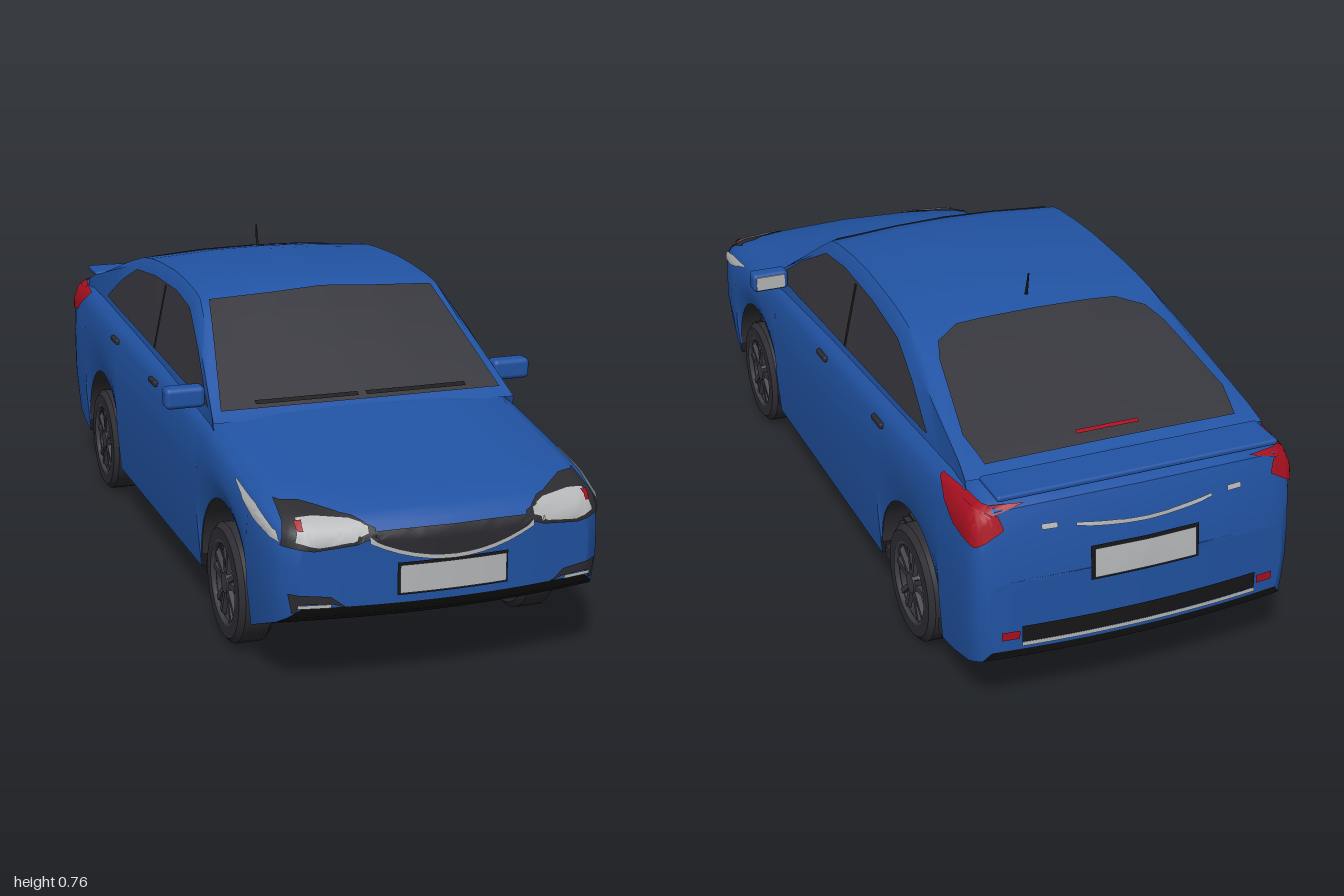
import * as THREE from 'three';
import { toCreasedNormals } from 'three/addons/utils/BufferGeometryUtils.js';
import { RoundedBoxGeometry } from 'three/addons/geometries/RoundedBoxGeometry.js';

const { lerp, smoothstep } = THREE.MathUtils;
const mat = (name, color) => new THREE.MeshStandardMaterial({ name, color, side: THREE.DoubleSide });
const blue = mat('blue paint', 0x2153a3), glass = mat('dark glass', 0x36363d), black = mat('black plastic', 0x161618);
const rubber = mat('rubber', 0x2e2e34), alloy = mat('dark alloy', 0x3c3c44), silver = mat('silver', 0xb4b6b8);
const red = mat('red lens', 0xa81020), trim = mat('grey trim', 0x2b2b30);

// Lower body stations: z, half width, deck height, lower edge
const KEYS = [
  [1, .33, .36, .21], [.985, .36, .385, .185], [.95, .375, .403, .165], [.85, .385, .425, .135], [.785, .388, .437, .112],
  [.6, .39, .468, .11], [.46, .39, .49, .11], [0, .39, .515, .11], [-.5, .39, .535, .11], [-.78, .388, .548, .11],
  [-.85, .387, .546, .12], [-.94, .384, .54, .138], [-.97, .38, .524, .15], [-.99, .37, .46, .16], [-1, .352, .36, .185]];
const AXLES = [.59, -.585], ARCH = .19, HUB_Y = .14;

function at(keys, z, col) {
  const i = Math.max(1, keys.findIndex(k => k[0] <= z + 1e-9));
  const a = keys[i - 1], b = keys[i];
  return lerp(a[col], b[col], (z - a[0]) / (b[0] - a[0]));
}
const axleNear = z => AXLES.find(c => Math.abs(z - c) <= ARCH + 1e-6);

// Rounds the nose and tail in plan
const plan = (x, y, z) => new THREE.Vector3(x, y,
  z + (x / .39) ** 2 * (.03 * smoothstep(-z, .78, 1) - .05 * smoothstep(z, .78, 1)));

function grid(rows, crease = .7) {
  const n = rows[0].length, idx = [];
  for (let i = 0; i < rows.length - 1; i++)
    for (let j = 0; j < n - 1; j++) {
      const a = i * n + j, b = a + 1, c = a + n, d = c + 1;
      idx.push(a, c, b, b, c, d);
    }
  const g = new THREE.BufferGeometry().setFromPoints(rows.flat());
  g.setIndex(idx);
  return toCreasedNormals(g, crease);
}

// Half outline at a station, from the lower edge up to the centreline
function bodySection(z) {
  const [w, top, bot] = [1, 2, 3].map(c => at(KEYS, z, c)), h = top - bot, axle = axleNear(z);
  const low = axle === undefined ? bot : HUB_Y + Math.sqrt(Math.max(0, ARCH ** 2 - (z - axle) ** 2));
  const shoulder = top - .15 * h;
  return [[.975, low], [1, lerp(low, shoulder, .35)], [1, lerp(low, shoulder, .7)], [.985, shoulder],
    [.955, top - .08 * h], [.87, top - .03 * h], [.5, top - .008 * h], [0, top]].map(([f, y]) => [f * w, y]);
}
const ROOF = [[.48, .478], [.46, .49], [.38, .547], [.3, .604], [.22, .66], [.15, .706], [.1, .716], [0, .724], [-.1, .727],
  [-.25, .72], [-.33, .712], [-.4, .7], [-.5, .67], [-.6, .636], [-.7, .6], [-.8, .565], [-.86, .54]];
function cabinSection(z) {
  const top = at(ROOF, z, 1), belt = at(KEYS, z, 2);
  const f = Math.min(1, Math.max(0, (top - belt) / .2)), edge = top - .04 * f;
  const side = y => .365 - .26 * (y - .5), x = side(edge);
  return [[side(belt), belt - .04], [x, edge], [x - .018, edge + .024 * f], [x * .75, top - .012 * f],
    [x * .4, top - .003 * f], [0, top]];
}
const loft = (zs, section) => grid(zs.map(z => {
  const half = section(z);
  return [...half, ...half.slice(0, -1).reverse().map(([x, y]) => [-x, y])].map(([x, y]) => plan(x, y, z));
}));
const cap = (z, s) => grid(bodySection(z).map(([x, y]) =>
  Array.from({ length: 17 }, (_, k) => plan(x * s * (1 - k / 8), y, z))));

function makeWheel() {
  const wheel = new THREE.Group();
  wheel.name = 'wheel';
  const part = (name, g, m) => { const p = new THREE.Mesh(g, m); p.name = name; wheel.add(p); return p; };
  const profile = [[.098, -.042], [.125, -.042], [.138, -.03], [.138, .03], [.125, .042], [.098, .042], [.098, -.042]];
  const tyre = new THREE.LatheGeometry(profile.map(p => new THREE.Vector2(...p)), 40);
  part('tyre', toCreasedNormals(tyre.rotateZ(-Math.PI / 2), .6), rubber);
  part('rim', new THREE.TorusGeometry(.096, .007, 8, 40).rotateY(Math.PI / 2).translate(.036, 0, 0), alloy);
  part('hub', new THREE.CylinderGeometry(.024, .028, .03, 20).rotateZ(-Math.PI / 2).translate(.024, 0, 0), alloy);
  for (let k = 0; k < 5; k++)
    for (const s of [-1, 1]) {
      const spoke = part('spoke', new THREE.BoxGeometry(.012, .085, .012).translate(.03, .056, 0), alloy);
      spoke.rotation.x = k * Math.PI * .4 + s * .2;
    }
  return wheel;
}

export function createModel() {
  const car = new THREE.Group();
  car.name = 'car';
  const add = (name, g, m, x = 0, y = 0, z = 0) => {
    const p = new THREE.Mesh(g, m);
    p.name = name;
    p.position.set(x, y, z);
    car.add(p);
    return p;
  };

  // Body shell with open arches, end faces and cabin
  const zs = KEYS.map(k => k[0]).filter(z => axleNear(z) === undefined);
  for (const c of AXLES) {
    zs.push(c + ARCH + .0005, c - ARCH - .0005);
    for (let k = 0; k <= 18; k++) zs.push(c + ARCH * Math.cos(k * Math.PI / 18));
  }
  zs.sort((a, b) => b - a);
  const shell = [add('body', loft(zs, bodySection), blue), add('frontFace', cap(1, 1), blue),
    add('rearFace', cap(-1, -1), blue), add('cabin', loft(ROOF.map(k => k[0]), cabinSection), blue)];
  add('underbody', grid(zs.map(z => {
    const w = axleNear(z) === undefined ? bodySection(z)[0][0] : .25;
    return Array.from({ length: 9 }, (_, k) => plan(w * (k / 4 - 1), at(KEYS, z, 3), z));
  })), black);

  // Thin plates laid over the shell, spanned between two outlines
  const ray = new THREE.Raycaster();
  const VIEWS = {
    front: (a, b) => [[a, b, 3], [0, 0, -1]], rear: (a, b) => [[a, b, -3], [0, 0, 1]],
    left: (a, b) => [[3, b, a], [-1, 0, 0]], right: (a, b) => [[-3, b, a], [1, 0, 0]], top: (a, b) => [[a, 3, b], [0, -1, 0]] };
  const along = (line, u) => {
    const t = u * (line.length - 1), i = Math.min(line.length - 2, Math.floor(t));
    return [0, 1].map(k => lerp(line[i][k], line[i + 1][k], t - i));
  };
  function plate(name, m, view, low, high, off = .004, nu = 24, nv = 5) {
    let depth = 2, dir;
    const rows = Array.from({ length: nv + 1 }, (_, i) => Array.from({ length: nu + 1 }, (_, j) => {
      const p = along(low, j / nu), q = along(high, j / nu);
      const [o, d] = VIEWS[view](lerp(p[0], q[0], i / nv), lerp(p[1], q[1], i / nv)).map(v => new THREE.Vector3(...v));
      dir = d;
      ray.set(o, d);
      const hit = ray.intersectObjects(shell)[0];
      if (!hit) return o.addScaledVector(d, depth);
      depth = hit.distance;
      const n = hit.face.normal.clone();
      return hit.point.clone().addScaledVector(n, n.dot(d) > 0 ? -off : off);
    }));
    const d1 = rows[nv][nu].clone().sub(rows[0][0]), d2 = rows[nv][0].clone().sub(rows[0][nu]);
    if (d2.cross(d1).dot(dir) > 0) rows.forEach(r => r.reverse());
    add(name, grid(rows), m);
  }
  const flip = line => line.map(([a, b]) => [-a, b]);
  const pair = (name, m, view, low, high, off, nu, nv) => {
    plate(name, m, view, low, high, off, nu, nv);
    if (view === 'left') plate(name, m, 'right', low, high, off, nu, nv);
    else plate(name, m, view, flip(low), flip(high), off, nu, nv);
  };
  const bar = (name, m, view, x0, x1, y0, y1, off) => plate(name, m, view, [[x0, y0], [x1, y0]], [[x0, y1], [x1, y1]], off, 16, 2);
  const bars = (name, m, view, x0, x1, y0, y1, off) => pair(name, m, view, [[x0, y0], [x1, y0]], [[x0, y1], [x1, y1]], off, 12, 2);

  // Glass
  plate('windscreen', glass, 'front', [[-.345, .495], [.345, .495]], [[-.285, .688], [0, .703], [.285, .688]], .004, 32, 16);
  const rearSide = [[-.3, -.825], [-.315, -.74], [-.28, -.52], [-.26, -.46], [-.2, -.42]];
  plate('rearWindow', glass, 'top', rearSide, flip(rearSide), .004, 24, 24);
  pair('sideWindow', glass, 'left',
    [[.42, .5], [.27, .5], [.13, .505], [0, .51], [-.2, .518], [-.38, .525], [-.5, .53], [-.62, .537]],
    [[.4, .512], [.27, .595], [.13, .668], [0, .682], [-.2, .678], [-.38, .66], [-.5, .61], [-.62, .542]], .004, 42, 8);
  bars('doorPillar', black, 'left', -.085, -.1, .515, .675, .006);
  bars('wiper', black, 'front', .01, .26, .5, .507, .008);
  bar('highBrakeLight', red, 'top', -.075, .075, -.8, -.79, .008);

  // Nose details
  pair('headlightHousing', trim, 'front', [[.17, .36], [.21, .345], [.3, .335], [.36, .345]],
    [[.17, .375], [.21, .395], [.3, .412], [.345, .413]]);
  pair('headlight', silver, 'front', [[.185, .365], [.22, .352], [.29, .343], [.335, .353]],
    [[.185, .38], [.22, .39], [.29, .395], [.325, .393]], .008);
  bars('headlightMarker', red, 'front', .317, .33, .374, .388, .011);
  pair('headlightTail', silver, 'left', [[.94, .35], [.82, .372], [.69, .412]], [[.92, .37], [.82, .398], [.69, .416]], .006);
  const arc = (w, edge, mid, n = 12) => Array.from({ length: n + 1 }, (_, k) => {
    const t = k / n * 2 - 1;
    return [t * w, lerp(mid, edge, t * t)];
  });
  plate('grille', trim, 'front', arc(.18, .35, .308), arc(.18, .368, .37));
  plate('grilleStrip', silver, 'front', arc(.185, .347, .3), arc(.185, .357, .31), .008, 24, 2);
  pair('fogSurround', trim, 'front', [[.235, .205], [.25, .192], [.34, .188]], [[.235, .212], [.265, .235], [.35, .243]]);
  bars('fogLight', silver, 'front', .265, .33, .212, .22, .008);
  bar('frontPlateFrame', black, 'front', -.125, .125, .228, .3);
  bar('frontPlate', silver, 'front', -.12, .12, .233, .295, .008);

  // Tail details
  pair('tailLightSide', red, 'left', [[-.76, .512], [-.86, .452], [-.95, .44]], [[-.76, .517], [-.86, .522], [-.95, .52]], .005);
  pair('tailLightRear', red, 'rear', [[.315, .475], [.372, .44]], [[.325, .505], [.366, .512]], .005);
  bar('rearPlateFrame', black, 'rear', -.128, .128, .33, .41);
  bar('rearPlate', silver, 'rear', -.12, .12, .337, .403, .008);
  plate('bootStrip', silver, 'rear', arc(.16, .463, .447), arc(.16, .47, .457), .006, 24, 2);
  bars('reverseLight', silver, 'rear', .2, .235, .465, .477, .005);
  bar('bumperSlot', black, 'rear', -.28, .28, .205, .245);
  bar('bumperStrip', silver, 'rear', -.28, .28, .196, .206, .006);
  bars('reflector', red, 'rear', .285, .325, .215, .235, .005);
  add('bootLip', new RoundedBoxGeometry(.66, .014, .1, 2, .006), blue, 0, .549, -.915);

  // Wheels, wheel wells, mirrors and handles
  for (const s of [1, -1]) {
    for (const z of AXLES) {
      const wheel = makeWheel();
      wheel.position.set(s * .343, HUB_Y - .002, z);
      if (s < 0) wheel.rotation.y = Math.PI;
      car.add(wheel);
      add('wheelWell', new THREE.CylinderGeometry(ARCH, ARCH, .13, 28, 1, true, 0, Math.PI).rotateZ(Math.PI / 2), rubber, s * .314, HUB_Y, z);
      add('wellWall', new THREE.CircleGeometry(ARCH, 28, 0, Math.PI).rotateY(s * Math.PI / 2), rubber, s * .25, HUB_Y, z);
    }
    for (const z of [.43, -.415, -.755]) add('wellFoot', new THREE.BoxGeometry(.12, .03, .05), trim, s * .31, .112, z);
    add('mirror', new RoundedBoxGeometry(.095, .05, .045, 3, .012), blue, s * .408, .516, .365);
    add('mirrorGlass', new THREE.BoxGeometry(.075, .036, .004), silver, s * .41, .516, .342);
    for (const [z, y] of [[0, .456], [-.4, .468]]) add('doorHandle', new RoundedBoxGeometry(.012, .014, .06, 2, .004), trim, s * .387, y, z);
  }

  // Rear underside and aerial
  add('rearSubframe', new THREE.BoxGeometry(.48, .03, .32), trim, 0, .112, -.6);
  add('axle', new THREE.CylinderGeometry(.015, .015, .62, 12).rotateZ(Math.PI / 2), trim, 0, HUB_Y, AXLES[1]);
  add('aerial', new THREE.CylinderGeometry(.002, .004, .06, 8), black, 0, .732, -.367).rotation.x = -.2;
  return car;
}
